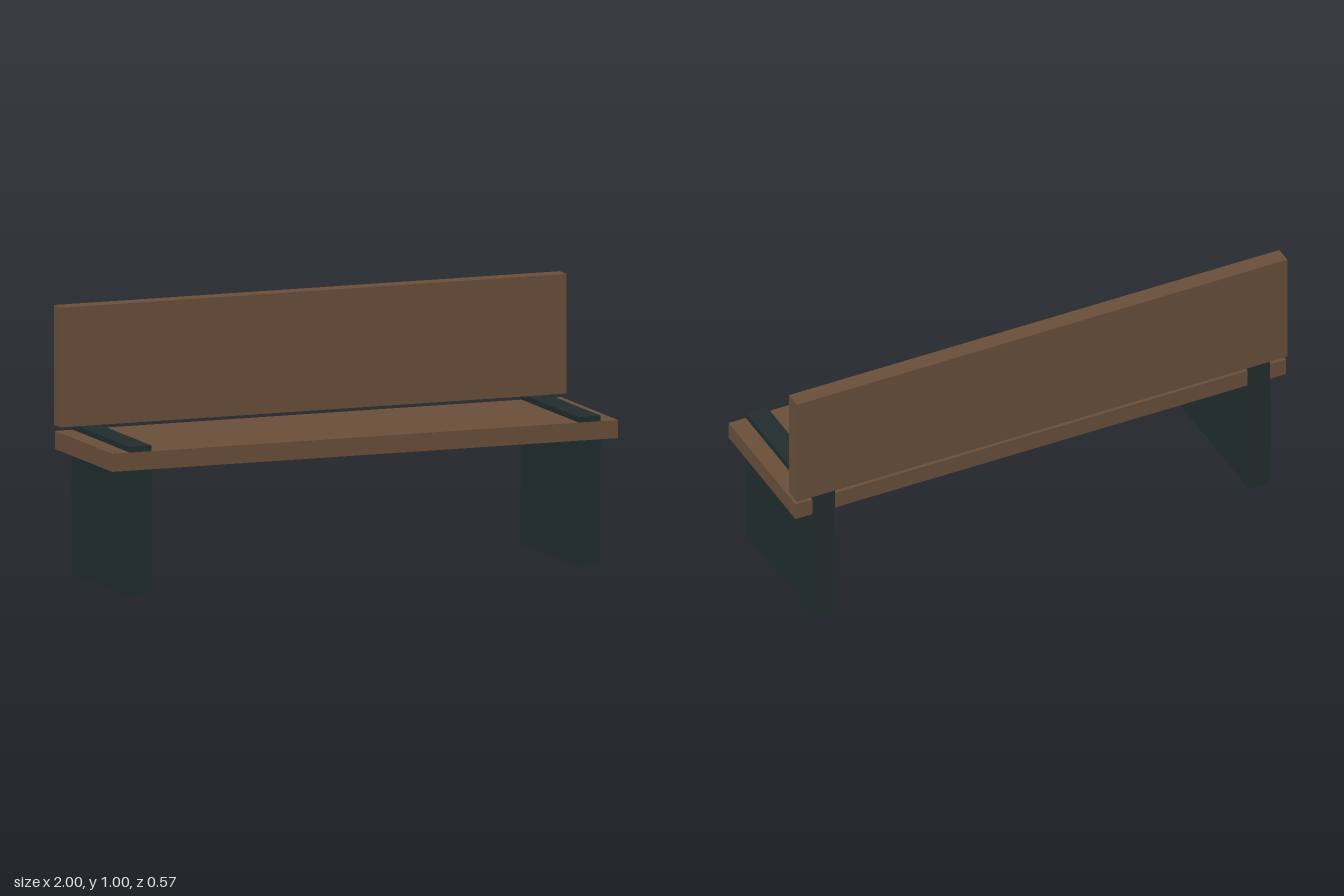
import * as THREE from 'three';

const wood = new THREE.MeshStandardMaterial({ color: 0x694f3b });
wood.name = 'brown wood';
const metal = new THREE.MeshStandardMaterial({ color: 0x222d2d });
metal.name = 'dark metal';

// Box given by its lower and upper corners
function slab(name, material, [x0, y0, z0], [x1, y1, z1]) {
  const mesh = new THREE.Mesh(new THREE.BoxGeometry(x1 - x0, y1 - y0, z1 - z0), material);
  mesh.position.set((x0 + x1) / 2, (y0 + y1) / 2, (z0 + z1) / 2);
  mesh.name = name;
  return mesh;
}

export function createModel() {
  const bench = new THREE.Group();
  bench.name = 'bench';

  // Seat board, a hair proud of the legs in front
  bench.add(slab('seat', wood, [-1, 0.468, -0.271], [1, 0.535, 0.283]));

  // Backrest board standing on the rear of the legs
  bench.add(slab('backrest', wood, [-1, 0.556, -0.283], [1, 1, -0.217]));

  // Panel legs that pass up through the seat
  for (const [name, x] of [['leftLeg', 0.887], ['rightLeg', -0.887]]) {
    bench.add(slab(name, metal, [x - 0.043, 0, -0.283], [x + 0.043, 0.556, 0.282]));
  }
  return bench;
}
